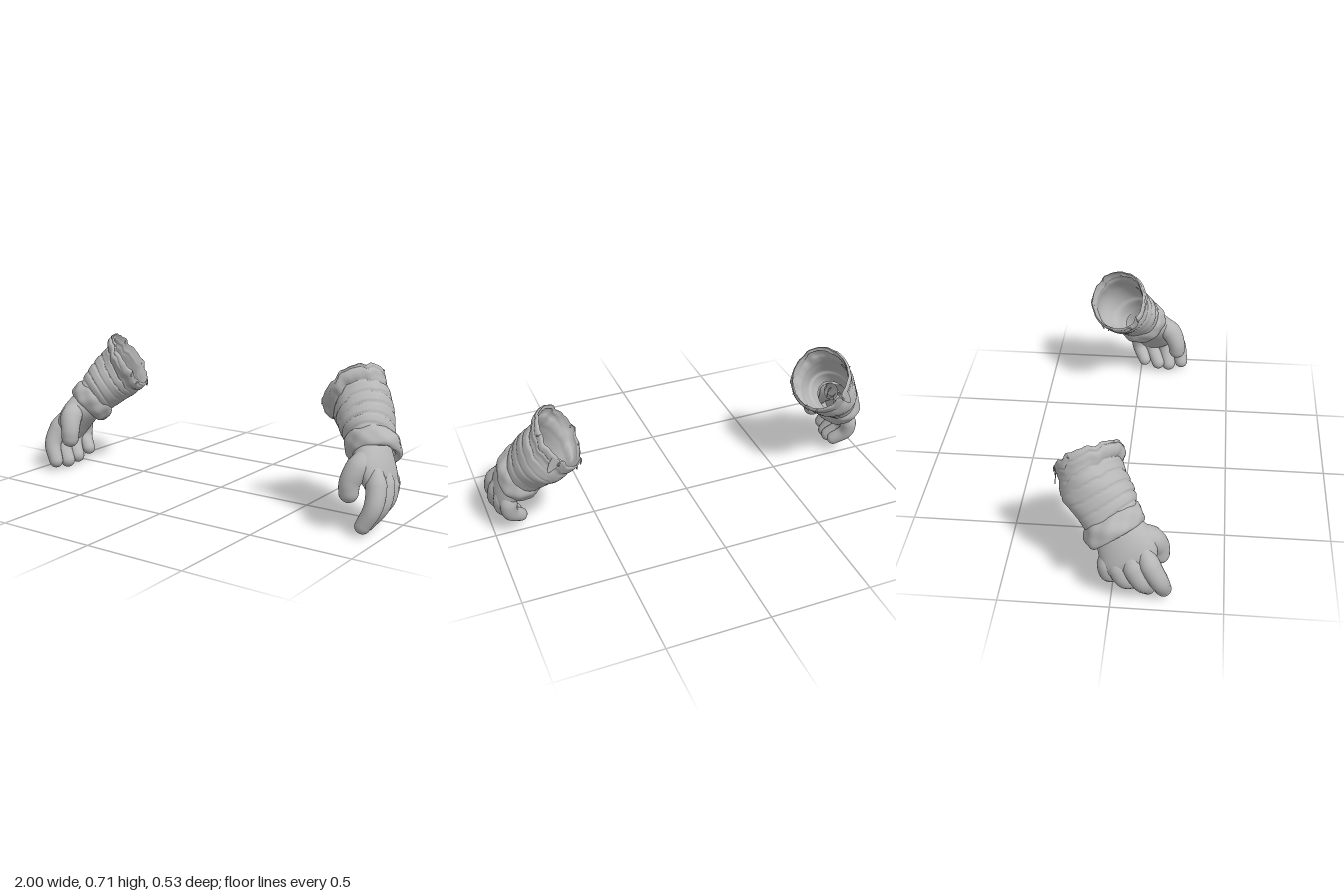
import * as THREE from 'three';

const V = (x, y, z) => new THREE.Vector3(x, y, z);

// Forearm frame: D runs from the sleeve opening to the wrist, U to the front, W outward
const D = V(0.537, -0.749, 0.39).normalize();
const W = V(0.8, 0.6, 0).addScaledVector(D, -V(0.8, 0.6, 0).dot(D)).normalize();
const U = new THREE.Vector3().crossVectors(D, W);
const OPENING = V(0.68, 0.57, -0.11);
const SEG = 72;

// Skins a list of closed rings; side = -1 mirrors the result
function loft(rings, side) {
  const n = rings[0].length, pos = [], idx = [];
  rings.forEach(r => r.forEach(p => pos.push(p.x * side, p.y, p.z)));
  for (let i = 0; i < rings.length - 1; i++) {
    for (let j = 0; j < n; j++) {
      const a = i * n + j, b = i * n + (j + 1) % n, c = a + n, d = b + n;
      if (side > 0) idx.push(a, c, b, b, c, d);
      else idx.push(a, b, c, b, d, c);
    }
  }
  const g = new THREE.BufferGeometry();
  g.setAttribute('position', new THREE.Float32BufferAttribute(pos, 3));
  g.setIndex(idx);
  g.computeVertexNormals();
  return g;
}

function ring(c, u, v, ru, rv, n) {
  return Array.from({ length: n }, (_, j) => {
    const t = j / n * Math.PI * 2;
    return c.clone().addScaledVector(u, ru * Math.cos(t)).addScaledVector(v, rv * Math.sin(t));
  });
}

// Round limb along a curve with changing radius and a domed tip
function limb(points, radii, side, n = 20) {
  const curve = new THREE.CatmullRomCurve3(points.map(p => V(...p)));
  const rings = [], steps = 18, last = radii.length - 1;
  const add = (c, d, r) => {
    const u = V(1, 0, 0.1).addScaledVector(d, -V(1, 0, 0.1).dot(d)).normalize();
    rings.push(ring(c, u, new THREE.Vector3().crossVectors(u, d), r, r, n));
  };
  for (let i = 0; i <= steps; i++) {
    const t = i / steps, k = Math.min(Math.floor(t * last), last - 1);
    add(curve.getPoint(t), curve.getTangent(t), THREE.MathUtils.lerp(radii[k], radii[k + 1], t * last - k));
  }
  const end = curve.getPoint(1), dir = curve.getTangent(1), r = radii[last];
  for (let i = 1; i <= 6; i++) {
    const a = i / 6 * Math.PI / 2;
    add(end.clone().addScaledVector(dir, r * Math.sin(a)), dir, Math.max(r * Math.cos(a), 0.0005));
  }
  return loft(rings, side);
}

// Point on the sleeve, at distance a along the forearm and angle t around it
function sleevePoint(a, ru, rv, t, fold) {
  const rim = THREE.MathUtils.clamp(1 - a / 0.16, 0, 1);
  const wrist = THREE.MathUtils.smoothstep(a, 0.15, 0.28);
  const sag = 0.021 * THREE.MathUtils.smoothstep(a, -0.02, 0.07) * (1 - THREE.MathUtils.smoothstep(a, 0.1, 0.24));
  const under = Math.pow((1 - Math.sin(t)) / 2, 2);
  const ragged = 0.004 * Math.sin(t * 11 + 1) + 0.003 * Math.sin(t * 17) + 0.004 * Math.sin(t * 5 + 2);
  const along = a + rim * (0.01 - 0.024 * Math.sin(t) + 0.04 * under + ragged) + wrist * (0.003 - 0.02 * Math.cos(t));
  const out = fold + rim * 0.012 * under;
  return OPENING.clone().addScaledVector(D, along)
    .addScaledVector(U, (ru + out) * Math.cos(t) - sag).addScaledVector(W, (rv + out) * Math.sin(t));
}

// Profile rows: distance along the forearm, radius to the front, radius outward
function clothRings(profile, steps, foldAt) {
  const curve = new THREE.CatmullRomCurve3(profile.map(p => V(...p)));
  return Array.from({ length: steps + 1 }, (_, i) => {
    const p = curve.getPoint(i / steps);
    return Array.from({ length: SEG }, (_, j) => {
      const t = j / SEG * Math.PI * 2;
      return sleevePoint(p.x, p.y, p.z, t, foldAt(p.x, t));
    });
  });
}

// Slanting creases, deeper on the front and outside, nearly smooth underneath
function sleeveFold(a, t) {
  const depth = 0.0025 + 0.002 * Math.sin(t + 0.8) + 0.001 * Math.sin(3 * t + a * 40);
  const wave = Math.sin(a * 58 + 1.3 * Math.sin(t + 0.5) + 0.6 * Math.sin(2 * t + 1));
  return depth * (1 - 2 * Math.pow(1 - Math.abs(wave), 3)) + 0.002 * Math.sin(4 * t + a * 20);
}

function cuffFold(a, t) {
  return 0.003 * Math.sin(5 * t + a * 60) + 0.002 * Math.sin(9 * t - a * 50 + 1);
}

const SLEEVE_OUTER = [[-0.042, 0.144, 0.138], [-0.032, 0.153, 0.147], [0, 0.153, 0.145], [0.03, 0.142, 0.133],
  [0.07, 0.144, 0.134], [0.13, 0.149, 0.129], [0.2, 0.14, 0.116], [0.275, 0.122, 0.098]];
const SLEEVE_INNER = [[0.285, 0.095, 0.072], [0.25, 0.105, 0.082], [0.21, 0.115, 0.092], [0.19, 0.128, 0.106],
  [0.1, 0.139, 0.126], [0.03, 0.136, 0.126], [-0.02, 0.141, 0.135], [-0.042, 0.144, 0.138]];
const CUFF = [[0.25, 0.112, 0.09], [0.255, 0.128, 0.104], [0.28, 0.139, 0.115], [0.318, 0.138, 0.116],
  [0.343, 0.129, 0.106], [0.35, 0.115, 0.09], [0.325, 0.1, 0.075]];

// Palm rows: centre, half width, half thickness
const PALM = [[0.83, 0.36, 0.01, 0.1, 0.078], [0.863, 0.31, 0.048, 0.122, 0.078], [0.895, 0.26, 0.072, 0.13, 0.07],
  [0.92, 0.21, 0.083, 0.124, 0.06], [0.932, 0.17, 0.088, 0.105, 0.046], [0.932, 0.145, 0.092, 0.065, 0.024],
  [0.93, 0.14, 0.092, 0.001, 0.001]];

// Thumb and fingers: path from inside the palm to the tip, radii
const DIGITS = {
  thumb: [[[0.868, 0.335, 0.09], [0.85, 0.285, 0.168], [0.828, 0.222, 0.203], [0.827, 0.177, 0.208]], [0.045, 0.057, 0.048, 0.045]],
  indexFinger: [[[0.898, 0.305, 0.125], [0.94, 0.22, 0.168], [0.95, 0.13, 0.212], [0.912, 0.046, 0.232]], [0.026, 0.048, 0.043, 0.036]],
  middleFinger: [[[0.905, 0.3, 0.078], [0.943, 0.21, 0.096], [0.95, 0.125, 0.134], [0.895, 0.038, 0.16]], [0.026, 0.049, 0.045, 0.038]],
  ringFinger: [[[0.9, 0.285, 0.035], [0.937, 0.195, 0.032], [0.937, 0.12, 0.06], [0.878, 0.052, 0.1]], [0.026, 0.046, 0.042, 0.036]],
  littleFinger: [[[0.885, 0.27, 0.0], [0.922, 0.195, -0.018], [0.918, 0.13, -0.01], [0.865, 0.078, 0.022]], [0.024, 0.042, 0.039, 0.033]],
};

// Angles of the loose threads round the opening
const THREADS = [2.2, 2.9, 3.25, 3.9, 4.5, 4.9, 5.6];

export function createModel() {
  const model = new THREE.Group();
  const cloth = new THREE.MeshStandardMaterial({ color: 0xb6b6b6, side: THREE.DoubleSide });
  cloth.name = 'plain grey';

  for (const [label, side] of [['left', 1], ['right', -1]]) {
    const arm = new THREE.Group();
    arm.name = label + 'Forearm';
    const add = (name, geometry) => {
      const mesh = new THREE.Mesh(geometry, cloth);
      mesh.name = name;
      arm.add(mesh);
    };

    // Sleeve with its lining and the rolled wrist cuff
    add('sleeve', loft(clothRings(SLEEVE_OUTER, 90, sleeveFold), side));
    add('sleeveLining', loft(clothRings(SLEEVE_INNER, 50, (a, t) => a < 0.02 ? sleeveFold(a, t) : 0), side));
    add('wristCuff', loft(clothRings(CUFF, 36, cuffFold), side));

    // Frayed threads at the opening
    THREADS.forEach((t, i) => {
      const at = (a, k, dt) => sleevePoint(a, 0.147 * k, 0.14 * k, t + dt, 0).toArray();
      const bend = i % 2 ? 0.12 : -0.12;
      add('frayedThread', limb([at(-0.025, 1, 0), at(-0.035, 1.03, bend), at(-0.02, 1.1, bend * 1.6)],
        [0.006, 0.005, 0.003], side, 6));
    });

    // Torn flap hanging from the back of the opening
    const flap = [[-0.03, 1.04, 0.16], [0.01, 1.07, 0.12], [0.04, 1.09, 0.04]].map(([a, k, w]) => {
      const p = s => sleevePoint(a, 0.15 * k, 0.142 * k, 2.95 + s * w, 0);
      return [p(-1), p(1), p(1).addScaledVector(U, 0.004), p(-1).addScaledVector(U, 0.004)];
    });
    add('tornFlap', loft(flap, side));

    // Hand, broad at the knuckles
    const across = V(-0.12, 0.27, 0.955).normalize();
    const down = V(0.5, -0.8, 0.28).normalize();
    const outward = new THREE.Vector3().crossVectors(across, down).normalize();
    const palmCurve = new THREE.CatmullRomCurve3(PALM.map(p => V(p[0], p[1], p[2])));
    const sizeCurve = new THREE.CatmullRomCurve3(PALM.map(p => V(p[3], p[4], 0)));
    const palmRings = Array.from({ length: 31 }, (_, i) => {
      const s = sizeCurve.getPoint(i / 30);
      return ring(palmCurve.getPoint(i / 30), across, outward, s.x, s.y, 40);
    });
    add('palm', loft(palmRings, side));

    for (const [name, [points, radii]] of Object.entries(DIGITS)) add(name, limb(points, radii, side));
    model.add(arm);
  }
  return model;
}
